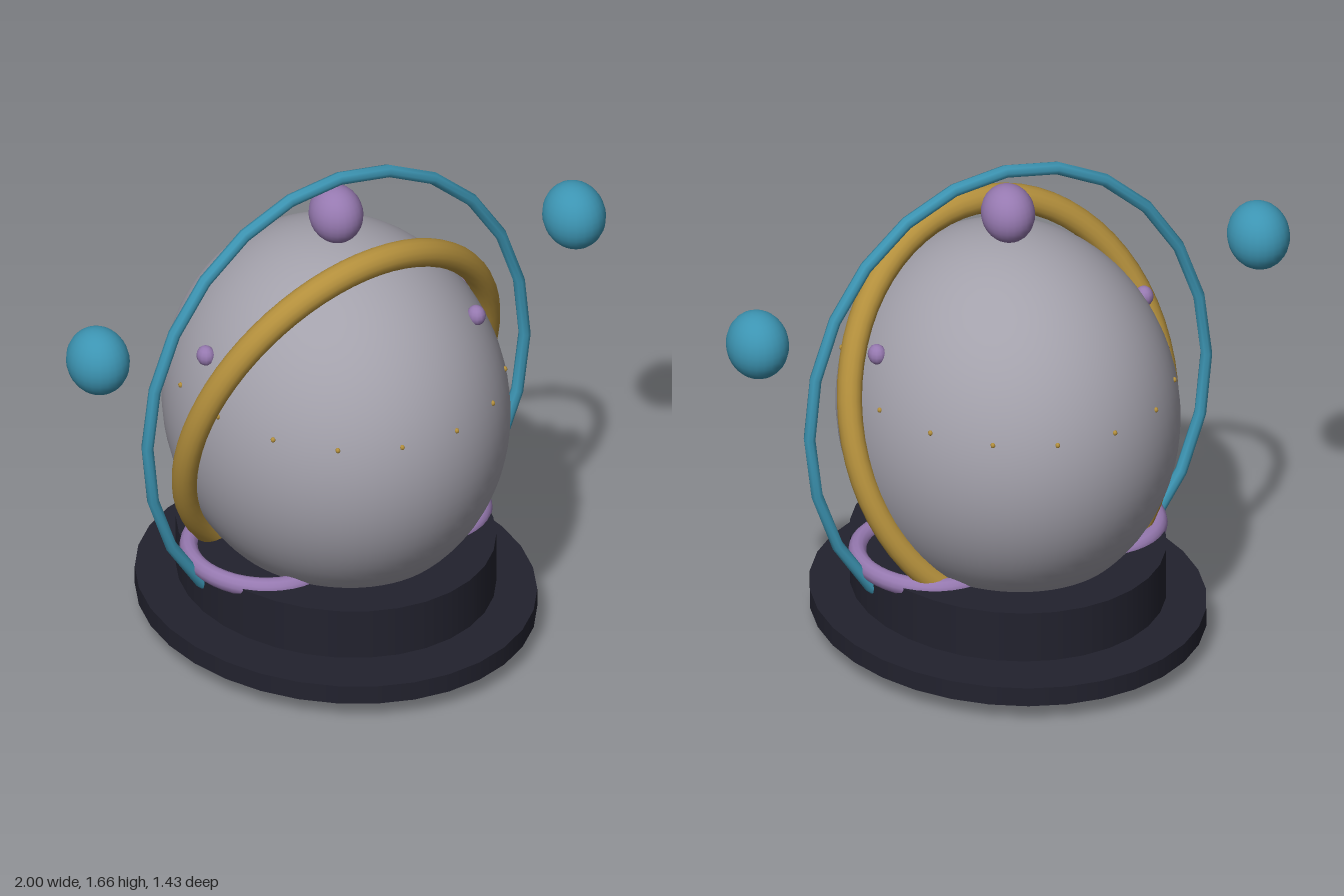
import * as THREE from 'three';

const mat = (name, color) => {
  const m = new THREE.MeshStandardMaterial({ color });
  m.name = name;
  return m;
};

export function createModel() {
  const grey = mat('grey', 0xa3a1ab);
  const dark = mat('darkNavy', 0x22222e);
  const teal = mat('teal', 0x3c94b2);
  const gold = mat('gold', 0xb38f3c);
  const purple = mat('purple', 0x9679b0);

  const model = new THREE.Group();
  model.name = 'orbitGlobe';
  const SX = 0.88; // the whole model is narrower in x

  const add = (name, geometry, material, x, y, z, sx = SX) => {
    geometry.scale(sx, 1, 1);
    const mesh = new THREE.Mesh(geometry, material);
    mesh.name = name;
    mesh.position.set(x, y, z);
    model.add(mesh);
    return mesh;
  };
  const ball = (r, w = 24, h = 16) => new THREE.SphereGeometry(r, w, h);

  // Two-step base with a narrow gap
  add('basePlate', new THREE.CylinderGeometry(0.715, 0.715, 0.065, 32), dark, 0, 0.0925, 0);
  add('basePedestal', new THREE.CylinderGeometry(0.57, 0.57, 0.175, 32), dark, 0, 0.2375, 0);

  // Globe and top knob
  add('globe', ball(0.624, 64, 40), grey, 0, 0.79, 0, 0.873);
  add('topKnob', ball(0.098), purple, 0, 1.5, 0);

  // Tilted gold ring
  const goldRing = new THREE.TorusGeometry(0.67, 0.047, 16, 64);
  goldRing.rotateX(0.363).rotateY(0.05);
  add('goldRing', goldRing, gold, 0, 0.81, 0, 0.855);

  // Thin upright ring with visible facets along its length
  const orbit = new THREE.TorusGeometry(0.81, 0.022, 8, 24);
  orbit.rotateX(0.025);
  add('orbitRing', orbit, teal, 0, 0.832, 0);

  // Mirrored satellites, side studs and foot loops
  for (const s of [1, -1]) {
    add('satellite', ball(0.114), teal, s * 0.9, 1.22, 0);
    add('sideStud', ball(0.034, 12, 8), purple, s * 0.48, 1.1, -0.02);
    const loop = new THREE.TorusGeometry(0.25, 0.033, 12, 40);
    loop.rotateX(Math.PI / 2);
    add('footLoop', loop, purple, s * 0.291, 0.32, 0);
  }
  add('frontStud', ball(0.034, 12, 8), purple, 0.336, 1.18, 0.326);

  // Belt of tiny gold rivets
  for (let i = 0; i < 16; i++) {
    const a = ((i + 0.5) / 16) * Math.PI * 2;
    add('rivet', ball(0.009, 8, 6), gold, 0.527 * Math.sin(a), 0.95, 0.603 * Math.cos(a));
  }
  return model;
}
